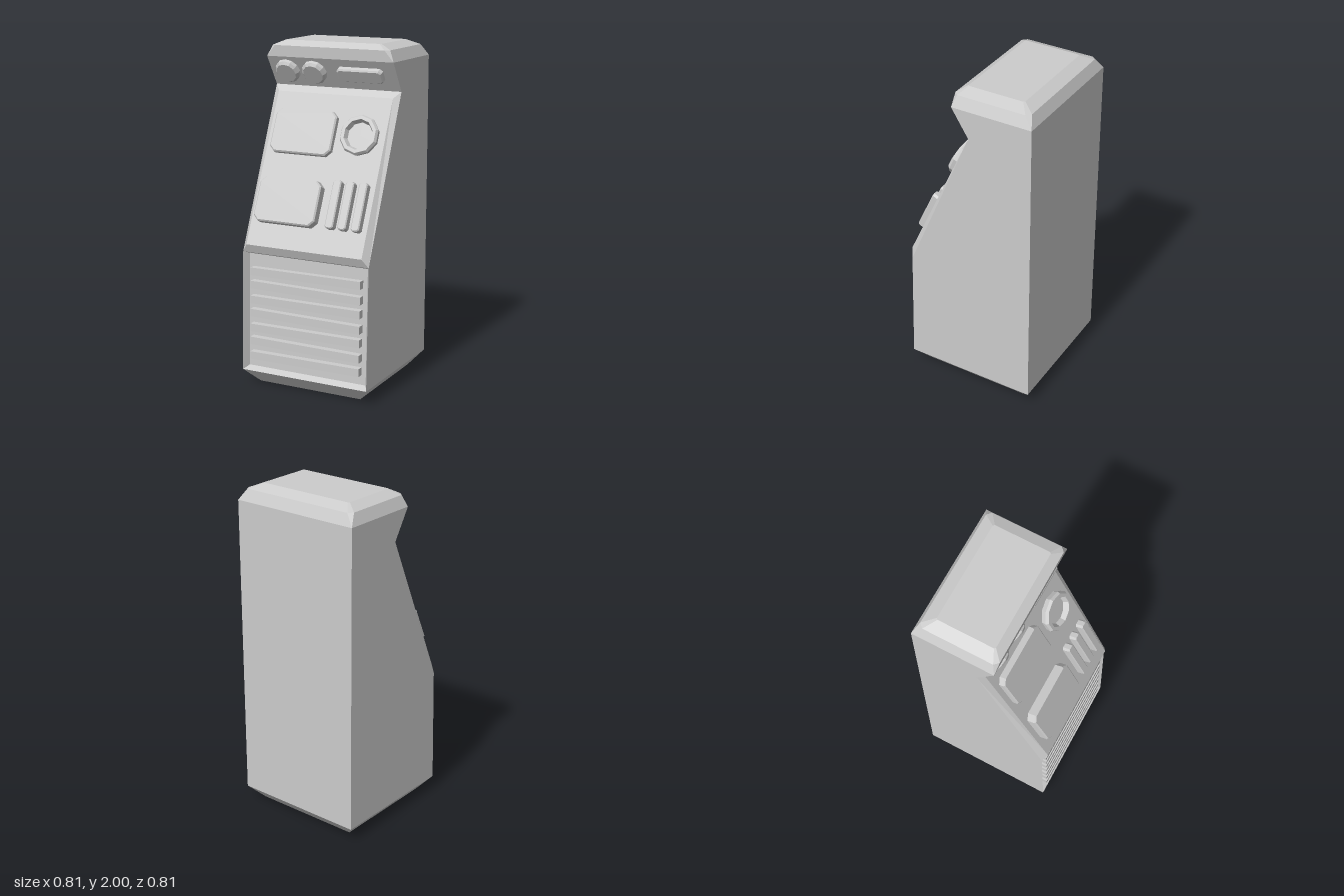
import * as THREE from 'three';

const mat = new THREE.MeshStandardMaterial({ color: 0xcccccc, flatShading: true });

function add(parent, name, geometry, x = 0, y = 0, z = 0) {
  const mesh = new THREE.Mesh(geometry, mat);
  mesh.name = name;
  mesh.position.set(x, y, z);
  parent.add(mesh);
  return mesh;
}

// Collects quads and polygons into one flat-shaded geometry
function faces(list) {
  const pos = [];
  for (const f of list)
    for (let i = 1; i < f.length - 1; i++) pos.push(...f[0], ...f[i], ...f[i + 1]);
  const g = new THREE.BufferGeometry();
  g.setAttribute('position', new THREE.Float32BufferAttribute(pos, 3));
  g.computeVertexNormals();
  return g;
}

// Horizontal section with corners cut by c, counter-clockwise from above
const ring = (y, x, zb, zf, c) => [
  [-x + c, y, zf], [x - c, y, zf], [x, y, zf - c], [x, y, zb + c],
  [x - c, y, zb], [-x + c, y, zb], [-x, y, zb + c], [-x, y, zf - c],
];

// Four corners of a front-facing rectangle, counter-clockwise
const rect = (x, y0, z0, y1, z1) => [[-x, y0, z0], [x, y0, z0], [x, y1, z1], [-x, y1, z1]];

// Bevelled border joining an outer rectangle to an inner one, plus the inner face
function frame(outer, inner) {
  const list = [inner];
  for (let i = 0; i < 4; i++) {
    const j = (i + 1) % 4;
    list.push([outer[i], outer[j], inner[j], inner[i]]);
  }
  return faces(list);
}

// Raised block with cut corners and a fine bevel, standing on z = 0
function block(w, h, d, cut, b) {
  const x = w / 2 - b, y = h / 2 - b;
  const s = new THREE.Shape([
    [-x + cut, -y], [x - cut, -y], [x, -y + cut], [x, y - cut],
    [x - cut, y], [-x + cut, y], [-x, y - cut], [-x, -y + cut],
  ].map(p => new THREE.Vector2(...p)));
  const g = new THREE.ExtrudeGeometry(s, {
    depth: d, bevelEnabled: true, bevelThickness: b, bevelSize: b, bevelSegments: 1,
  });
  return g.translate(0, 0, -b);
}

// Turned part facing +z
const turned = (pts, n) => new THREE.LatheGeometry(
  pts.map(p => new THREE.Vector2(...p)), n).rotateX(Math.PI / 2);

export function createModel() {
  const model = new THREE.Group();
  model.name = 'arcadeCabinet';

  // Cabinet shell lofted upward, left open where the grille recess sits
  const rings = [
    ring(0, 0.33, -0.325, 0.33, 0),
    ring(0.085, 0.405, -0.405, 0.408, 0),
    ring(0.8, 0.405, -0.405, 0.385, 0),
    ring(1.73, 0.405, -0.405, -0.025, 0),
    ring(1.905, 0.405, -0.405, 0.085, 0),
    ring(1.97, 0.375, -0.375, 0.09, 0.025),
    ring(2, 0.305, -0.305, 0.04, 0.008),
  ];
  const shell = [[...rings[0]].reverse(), rings.at(-1)];
  for (let r = 0; r < rings.length - 1; r++)
    for (let i = 0; i < 8; i++) {
      if (r === 1 && i === 0) continue;
      const j = (i + 1) % 8, a = rings[r], b = rings[r + 1];
      shell.push([a[i], a[j], b[j], b[i]]);
    }
  add(model, 'cabinetShell', faces(shell));

  // Recess and slats in the lower front
  add(model, 'grilleRecess', frame(
    rect(0.405, 0.085, 0.408, 0.8, 0.385), rect(0.382, 0.105, 0.368, 0.785, 0.347)));
  for (let i = 0; i < 7; i++) {
    const y = 0.183 + i * 0.0845;
    const slat = add(model, 'grilleSlat', new THREE.BoxGeometry(0.71, 0.046, 0.046),
      0, y, 0.386 - 0.032 * (y - 0.085));
    slat.rotation.z = i % 2 ? -0.006 : 0.009;
  }

  // Sloped control panel with bevelled edges
  add(model, 'slopedPanel', frame(
    rect(0.405, 0.8, 0.385, 1.73, -0.025), rect(0.37, 0.85, 0.405, 1.695, 0.012)));

  // Parts on the slope, in the panel's own plane
  const slope = new THREE.Group();
  slope.name = 'panelControls';
  slope.position.set(0, 0.85, 0.405);
  slope.rotation.x = -Math.atan2(0.393, 0.845);
  model.add(slope);
  add(slope, 'lowerScreen', block(0.395, 0.267, 0.055, 0.028, 0.008), -0.138, 0.272);
  add(slope, 'upperScreen', block(0.395, 0.265, 0.036, 0.028, 0.008), -0.138, 0.69);
  add(slope, 'dial', turned([
    [0.112, -0.01], [0.12, 0.03], [0.11, 0.045], [0.09, 0.045], [0.078, 0.015], [0, 0.015],
  ], 10), 0.22, 0.697);
  for (const x of [0.15, 0.23, 0.313])
    add(slope, 'sliderBar', block(0.052, 0.28, 0.045, 0.008, 0.006), x, 0.284);

  // Parts on the underside of the overhanging head
  const brow = new THREE.Group();
  brow.name = 'browControls';
  brow.position.set(0, 1.73, -0.025);
  brow.rotation.x = Math.atan2(0.11, 0.175);
  model.add(brow);
  for (const x of [-0.29, -0.115])
    add(brow, 'roundLamp', turned([
      [0.076, -0.01], [0.076, 0.02], [0.062, 0.034], [0, 0.034],
    ], 12), x, 0.112);
  add(brow, 'browBar', block(0.285, 0.09, 0.03, 0.012, 0.008), 0.182, 0.112);

  // Lathe profiles run base to centre, so show both faces of the thin skins
  mat.side = THREE.DoubleSide;
  return model;
}
